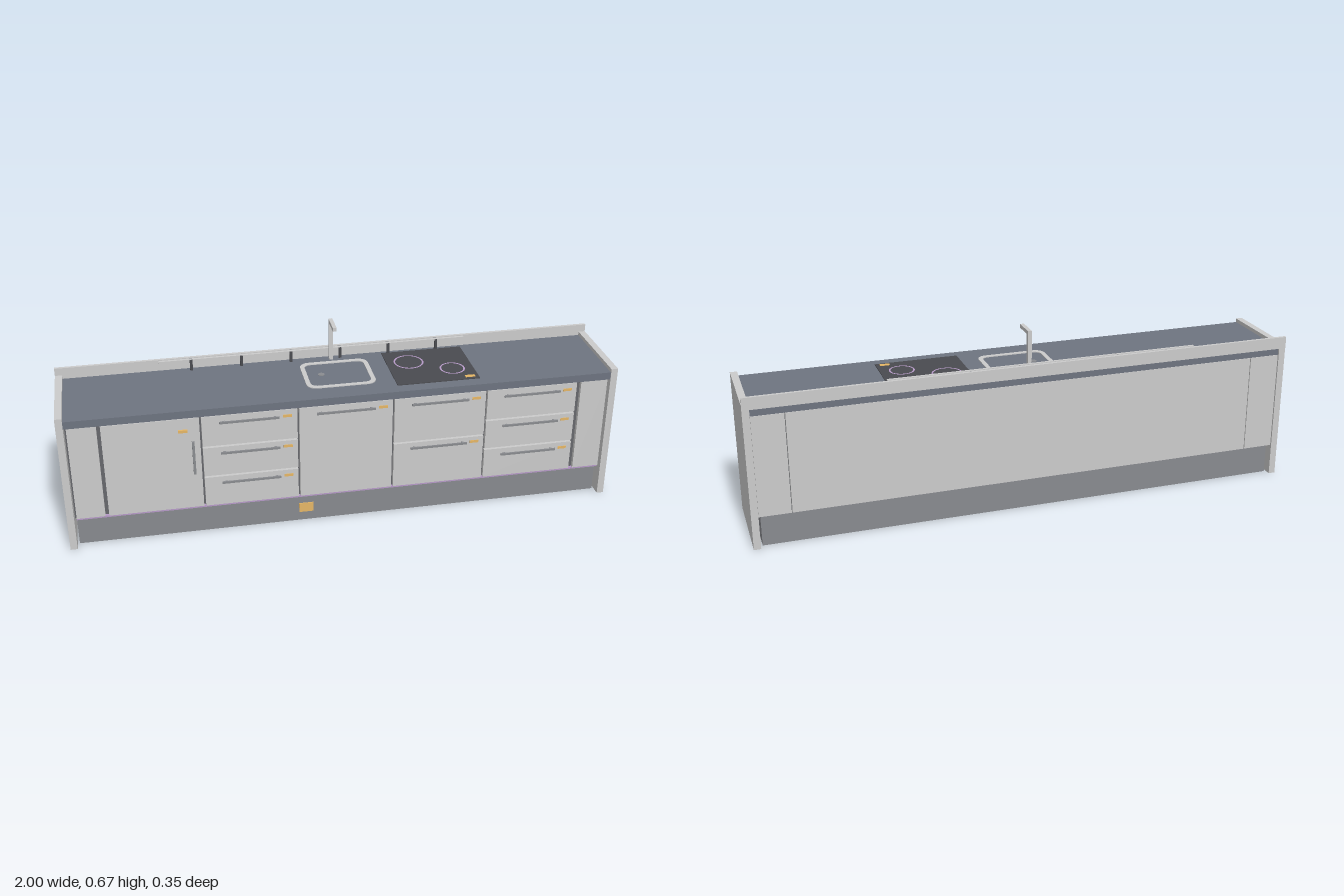
import * as THREE from 'three';

const mat = (color) => new THREE.MeshStandardMaterial({ color });
const M = {
  white: mat(0xf0f0f0), grey: mat(0xcccccc), top: mat(0x6e7480), plinth: mat(0x888a8f), dark: mat(0x4a4b50),
  seam: mat(0x66686c), gold: mat(0xe6b766), violet: mat(0xb79ac8), metal: mat(0x8a8c90),
};

export function createModel() {
  const root = new THREE.Group();

  // Box given by its limits on each axis
  const box = (name, m, x0, x1, y0, y1, z0, z1) => {
    const mesh = new THREE.Mesh(new THREE.BoxGeometry(x1 - x0, y1 - y0, z1 - z0), m);
    mesh.position.set((x0 + x1) / 2, (y0 + y1) / 2, (z0 + z1) / 2);
    mesh.name = name;
    root.add(mesh);
  };
  // Box repeated on the left and right ends
  const pair = (name, m, x0, x1, ...rest) => {
    box(name, m, x0, x1, ...rest);
    box(name, m, -x1, -x0, ...rest);
  };
  const add = (name, geometry, m, x, y, z) => {
    const mesh = new THREE.Mesh(geometry, m);
    mesh.position.set(x, y, z);
    mesh.name = name;
    root.add(mesh);
  };

  // Main body
  box('plinth', M.plinth, -0.967, 0.967, 0, 0.115, -0.15, 0.132);
  box('lightStrip', M.violet, -0.966, 0.966, 0.115, 0.122, 0.12, 0.158);
  box('carcass', M.seam, -0.972, 0.972, 0.118, 0.486, -0.155, 0.148);
  box('worktop', M.top, -0.975, 0.975, 0.485, 0.513, -0.167, 0.164);
  box('backsplash', M.white, -1, 1, 0.511, 0.555, -0.175, -0.164);
  pair('endPanel', M.white, 0.975, 1, 0, 0.527, -0.174, 0.167);
  pair('frontFiller', M.white, 0.866, 0.966, 0.123, 0.485, 0.145, 0.162);
  pair('backFiller', M.white, 0.862, 0.974, 0.118, 0.485, -0.169, -0.15);
  box('backPanel', M.white, -0.859, 0.859, 0.118, 0.485, -0.169, -0.15);

  // Horizontal handle on two posts, with a small tag beside it
  const handle = (cx, y) => {
    box('handleBar', M.metal, cx - 0.105, cx + 0.105, y - 0.004, y + 0.004, 0.168, 0.173);
    for (const s of [-1, 1]) {
      const px = cx + s * 0.09;
      box('handlePost', M.metal, px - 0.004, px + 0.004, y - 0.003, y + 0.003, 0.162, 0.169);
    }
    box('frontTag', M.gold, cx + 0.118, cx + 0.15, y - 0.005, y + 0.005, 0.161, 0.164);
  };

  // Drawer and door units: left edge, then front boundaries and handle heights
  const three = { rows: [0.123, 0.241, 0.361, 0.485], handles: [0.217, 0.337, 0.458] };
  const units = [
    { x: -0.857, rows: [0.123, 0.485], handles: [] },
    { x: -0.515, ...three },
    { x: -0.173, rows: [0.123, 0.485], handles: [0.458] },
    { x: 0.169, rows: [0.123, 0.302, 0.485], handles: [0.28, 0.458] },
    { x: 0.511, ...three },
  ];
  for (const u of units) {
    for (let i = 0; i < u.rows.length - 1; i++) {
      box('unitFront', M.white, u.x + 0.004, u.x + 0.339,
        u.rows[i] + (i ? 0.004 : 0), u.rows[i + 1] - 0.003, 0.145, 0.162);
    }
    for (const y of u.handles) handle(u.x + 0.17, y);
  }
  // Tall handle and tag on the left-hand door
  box('doorHandle', M.metal, -0.548, -0.539, 0.265, 0.395, 0.168, 0.176);
  for (const y of [0.28, 0.38]) box('doorHandlePost', M.metal, -0.547, -0.54, y - 0.004, y + 0.004, 0.162, 0.169);
  box('doorTag', M.gold, -0.592, -0.56, 0.431, 0.441, 0.161, 0.169);
  box('plinthSocket', M.gold, -0.171, -0.118, 0.035, 0.072, 0.128, 0.135);

  // Sink rim: a rounded ring lying on the worktop
  const rounded = (path, w, h, r) => {
    path.moveTo(-w + r, -h);
    path.lineTo(w - r, -h).absarc(w - r, -h + r, r, -Math.PI / 2, 0, false);
    path.lineTo(w, h - r).absarc(w - r, h - r, r, 0, Math.PI / 2, false);
    path.lineTo(-w + r, h).absarc(-w + r, h - r, r, Math.PI / 2, Math.PI, false);
    path.lineTo(-w, -h + r).absarc(-w + r, -h + r, r, Math.PI, Math.PI * 1.5, false);
    return path;
  };
  const rim = rounded(new THREE.Shape(), 0.126, 0.102, 0.035);
  rim.holes.push(rounded(new THREE.Path(), 0.11, 0.086, 0.025));
  const rimGeo = new THREE.ExtrudeGeometry(rim, { depth: 0.003, bevelEnabled: false, curveSegments: 8 });
  add('sinkRim', rimGeo.rotateX(-Math.PI / 2), M.grey, 0.001, 0.513, -0.016);
  add('sinkDrain', new THREE.CylinderGeometry(0.012, 0.012, 0.003, 24), M.metal, -0.058, 0.513, -0.02);

  // Tap
  box('tapColumn', M.grey, -0.007, 0.007, 0.513, 0.673, -0.149, -0.135);
  box('tapSpout', M.grey, -0.007, 0.007, 0.659, 0.673, -0.136, -0.062);

  // Hob with two cooking zones
  box('hob', M.dark, 0.192, 0.496, 0.513, 0.516, -0.146, 0.118);
  for (const [x, z, r] of [[0.274, -0.053, 0.052], [0.418, 0.027, 0.043]]) {
    const ring = new THREE.RingGeometry(r - 0.003, r + 0.003, 48).rotateX(-Math.PI / 2);
    add('cookingZone', ring, M.violet, x, 0.517, z);
  }
  box('hobTag', M.gold, 0.446, 0.482, 0.516, 0.518, 0.092, 0.107);

  // Rail along the backsplash with hanging hooks
  box('rail', M.grey, -0.63, 0.51, 0.546, 0.555, -0.157, -0.147);
  for (let i = 0; i < 6; i++) {
    const x = -0.514 + i * 0.183;
    box('railBracket', M.metal, x - 0.005, x + 0.005, 0.546, 0.553, -0.165, -0.156);
    box('railHook', M.dark, x - 0.005, x + 0.005, 0.513, 0.554, -0.15, -0.143);
  }
  return root;
}
